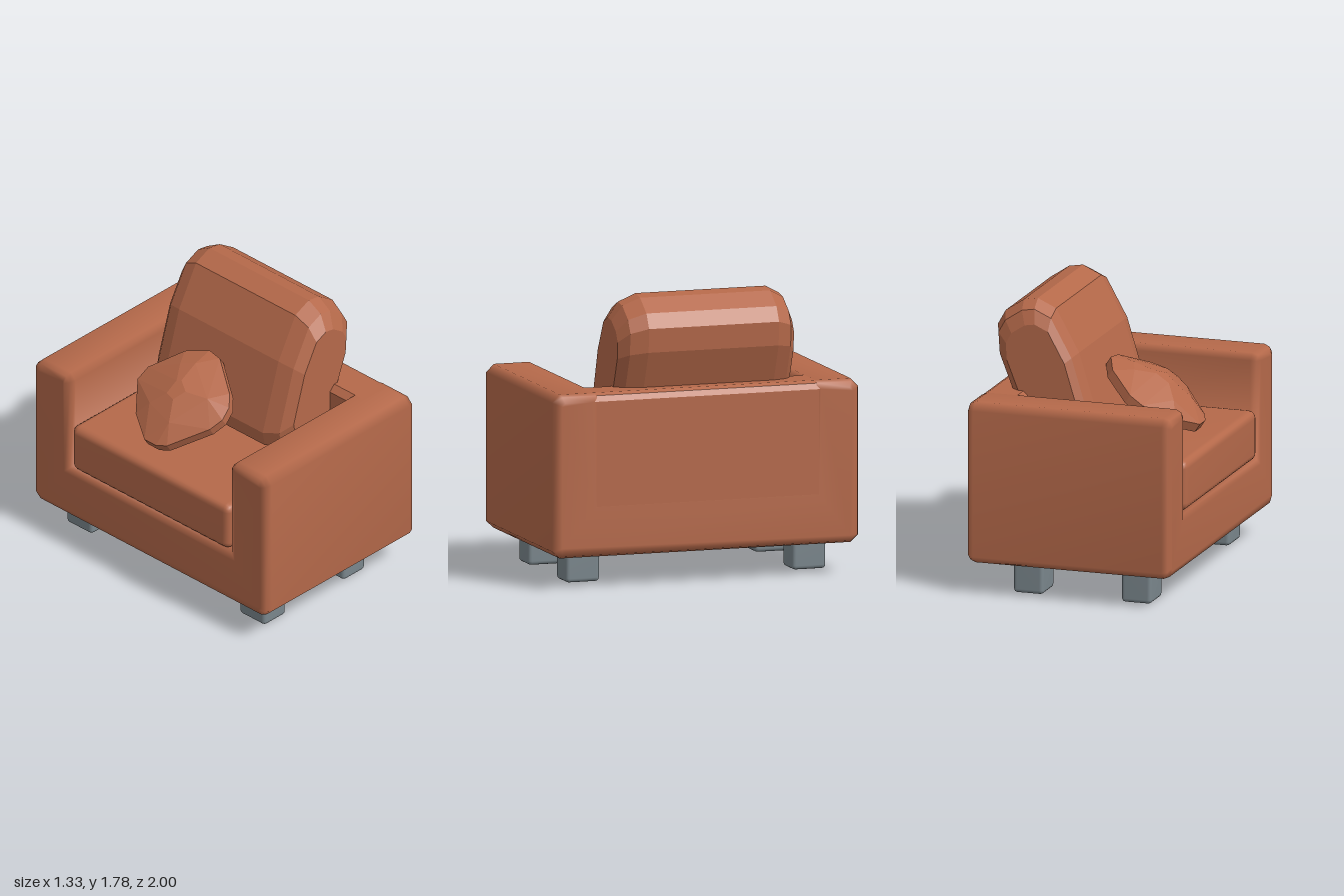
import * as THREE from 'three';
import { mergeVertices } from 'three/addons/utils/BufferGeometryUtils.js';
import { RoundedBoxGeometry } from 'three/addons/geometries/RoundedBoxGeometry.js';
import { ConvexGeometry } from 'three/addons/geometries/ConvexGeometry.js';

const BEVEL = 0.05;

// Weld shared corners so shading flows softly over the bevels
function soften(geometry) {
  geometry.deleteAttribute('normal');
  geometry.deleteAttribute('uv');
  const welded = mergeVertices(geometry, 1e-4);
  welded.computeVertexNormals();
  return welded;
}

// Extrude an outline with bevelled ends, centred on its depth
function bevelled(points, depth) {
  const shape = new THREE.Shape(points.map(([a, b]) => new THREE.Vector2(a, b)));
  const geometry = new THREE.ExtrudeGeometry(shape, {
    depth: depth - 2 * BEVEL, bevelEnabled: true, bevelThickness: BEVEL,
    bevelSize: BEVEL, bevelOffset: -BEVEL, bevelSegments: 2,
  });
  return geometry.translate(0, 0, BEVEL - depth / 2);
}

export function createModel() {
  const group = new THREE.Group();
  const fabric = new THREE.MeshStandardMaterial({ color: 0xb5694a });
  fabric.name = 'terracotta fabric';
  const metal = new THREE.MeshStandardMaterial({ color: 0x7a868c });
  metal.name = 'grey legs';

  const add = (name, geometry, material, x = 0, y = 0, z = 0) => {
    const mesh = new THREE.Mesh(geometry, material);
    mesh.name = name;
    mesh.position.set(x, y, z);
    group.add(mesh);
    return mesh;
  };

  // Base and both arms: one U-shaped section running front to back
  const half = [[0.68, 0.56], [0.68, 1.18], [0.72, 1.22], [0.95, 1.22],
    [1, 1.17], [1, 0.24], [0.95, 0.195]];
  const section = [
    ...half.map(([z, y]) => [-z, y]).reverse(),
    ...half,
  ].reverse();
  add('baseAndArms', soften(bevelled(section, 1.33).rotateY(Math.PI / 2)), fabric);

  // Backrest between the arms, with the same softened rear edges
  const backSection = [[0.38, 0.3], [0.615, 0.3], [0.664, 0.34], [0.664, 1.17],
    [0.645, 1.205], [0.615, 1.22], [0.42, 1.22], [0.38, 1.18]];
  const backShape = new THREE.Shape(backSection.map(([x, y]) => new THREE.Vector2(x, y)));
  const back = new THREE.ExtrudeGeometry(backShape, { depth: 1.6, bevelEnabled: false });
  add('backrest', back, fabric, 0, 0, -0.8);

  // Seat cushion
  add('seatCushion', soften(new RoundedBoxGeometry(1.06, 0.32, 1.35, 2, BEVEL)),
    fabric, -0.135, 0.715, 0);

  // Leaning back cushion: faceted slab, tapering towards both ends
  const profile = [[0.03, 1.22], [0.1, 1.46], [0.25, 1.73], [0.37, 1.785], [0.46, 1.77],
    [0.58, 1.69], [0.63, 1.6], [0.62, 1.45], [0.53, 1.22], [0.42, 0.95],
    [0.3, 0.84], [0.1, 0.84], [-0.02, 0.9], [-0.04, 1.0]];
  const rings = [[-0.61, 0.72], [-0.57, 0.9], [-0.48, 1], [0.37, 1], [0.48, 0.9], [0.54, 0.7]];
  const cushionPoints = rings.flatMap(([z, s]) => profile.map(([x, y]) =>
    new THREE.Vector3(0.29 + (x - 0.29) * s, 1.3 + (y - 1.3) * s, z)));
  add('backCushion', new ConvexGeometry(cushionPoints), fabric);

  // Small throw pillow: diamond outline, swelling to the middle on both faces
  const outline = [[0.345, -0.04], [0.33, 0.06], [0.16, 0.28], [0.08, 0.34], [-0.01, 0.355],
    [-0.1, 0.32], [-0.32, 0.13], [-0.35, 0.06], [-0.35, -0.04], [-0.23, -0.21],
    [-0.03, -0.355], [0.07, -0.345], [0.27, -0.19]];
  const layers = [[1, 0.03], [0.62, 0.09], [0.2, 0.125]];
  const pillowPoints = [];
  for (const [s, thickness] of layers) {
    for (const side of [-1, 1]) {
      outline.forEach(([u, z], i) => {
        // Every other point of the inner layers is left out for larger facets
        if (s === 1 || i % 3 === 0) {
          pillowPoints.push(new THREE.Vector3(u * s, side * thickness, z * s));
        }
      });
    }
  }
  const pillow = add('throwPillow', new ConvexGeometry(pillowPoints), fabric, -0.26, 1.14, -0.095);
  pillow.rotation.z = 0.58;

  // Four stubby legs
  for (const x of [-0.405, 0.3]) {
    for (const z of [0.72, -0.76]) {
      add('leg', soften(new RoundedBoxGeometry(0.195, 0.26, 0.22, 2, 0.025)), metal, x, 0.13, z);
    }
  }
  return group;
}
